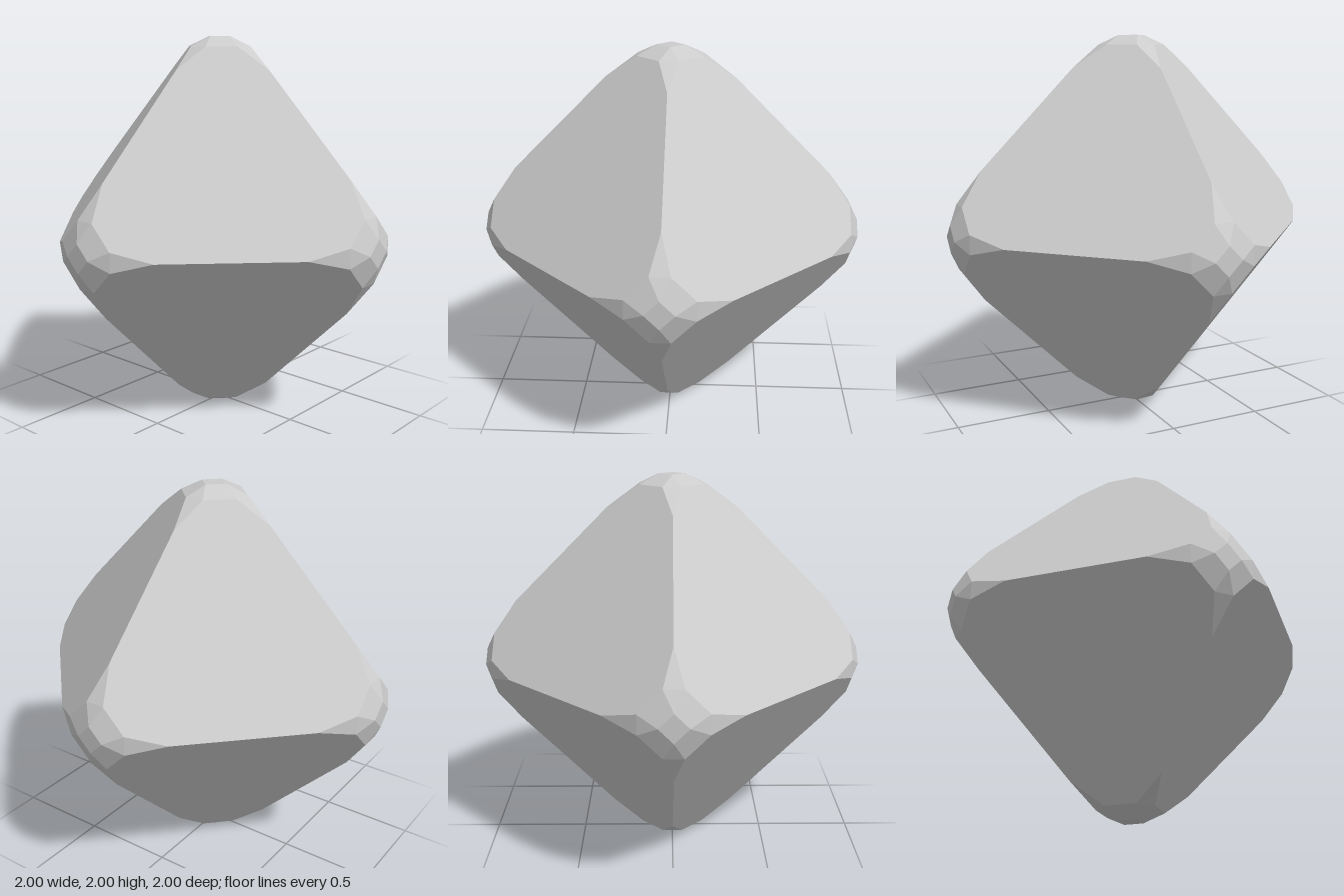
import * as THREE from 'three';

export function createModel() {
  const group = new THREE.Group();
  const material = new THREE.MeshStandardMaterial({ color: 0xcccccc, flatShading: true });

  // Key points of a bevelled tip: [distance along the tip axis, offset, offset]
  const EDGE = [0.834, 0.333]; // where the bevel meets an octahedron edge
  const SIDE = [0.95, 0.167, 0.05]; // bevel outline inside a face
  const CAP = [1, 0.072]; // small flat cap

  // Adds a flat convex polygon as a fan, turned to face outwards
  const addPolygon = (out, points) => {
    for (let i = 1; i < points.length - 1; i++) {
      const [a, b, c] = [points[0], points[i], points[i + 1]];
      const normal = b.clone().sub(a).cross(c.clone().sub(a));
      const tri = normal.dot(a) > 0 ? [a, b, c] : [a, c, b];
      tri.forEach((p) => out.push(p.x, p.y, p.z));
    }
  };

  const addMesh = (name, positions) => {
    const geometry = new THREE.BufferGeometry();
    geometry.setAttribute('position', new THREE.Float32BufferAttribute(positions, 3));
    geometry.computeVertexNormals();
    const mesh = new THREE.Mesh(geometry, material);
    mesh.name = name;
    mesh.position.y = 1;
    group.add(mesh);
  };

  // Point with components given along axis k, k+1 and k+2
  const point = (k, a, b, c) => {
    const v = new THREE.Vector3();
    [a, b, c].forEach((value, i) => v.setComponent((k + i) % 3, value));
    return v;
  };

  // Eight large faces, each with its three corners cut back in three steps
  const faces = [];
  for (const sx of [1, -1]) for (const sy of [1, -1]) for (const sz of [1, -1]) {
    const signs = new THREE.Vector3(sx, sy, sz);
    const outline = [];
    for (let k = 0; k < 3; k++) {
      outline.push(
        point(k, EDGE[0], 0, EDGE[1]),
        point(k, SIDE[0], SIDE[2], SIDE[1]),
        point(k, SIDE[0], SIDE[1], SIDE[2]),
        point(k, EDGE[0], EDGE[1], 0),
      );
    }
    addPolygon(faces, outline.map((p) => p.multiply(signs)));
  }
  addMesh('octahedronFaces', faces);

  // Six rounded tips: a square cap, four kites along the edges, four facets between
  const names = ['leftTip', 'topTip', 'frontTip', 'rightTip', 'bottomTip', 'backTip'];
  names.forEach((name, index) => {
    const axis = index % 3;
    const sign = index < 3 ? 1 : -1;
    const tip = [];
    // Tip point turned by quarter q about the tip axis
    const at = (q, [h, u, v = 0]) => {
      const [c, s] = [[1, 0], [0, 1], [-1, 0], [0, -1]][q % 4];
      return point(axis, sign * h, u * c - v * s, u * s + v * c);
    };
    const mirrored = [SIDE[0], SIDE[1], -SIDE[2]];
    for (let q = 0; q < 4; q++) {
      addPolygon(tip, [at(q, SIDE), at(q, CAP), at(q, mirrored)]);
      addPolygon(tip, [at(q, SIDE), at(q, mirrored), at(q, EDGE)]);
      addPolygon(tip, [at(q, SIDE), at(q + 1, mirrored), at(q + 1, CAP), at(q, CAP)]);
    }
    addPolygon(tip, [0, 1, 2, 3].map((q) => at(q, CAP)));
    addMesh(name, tip);
  });

  return group;
}
